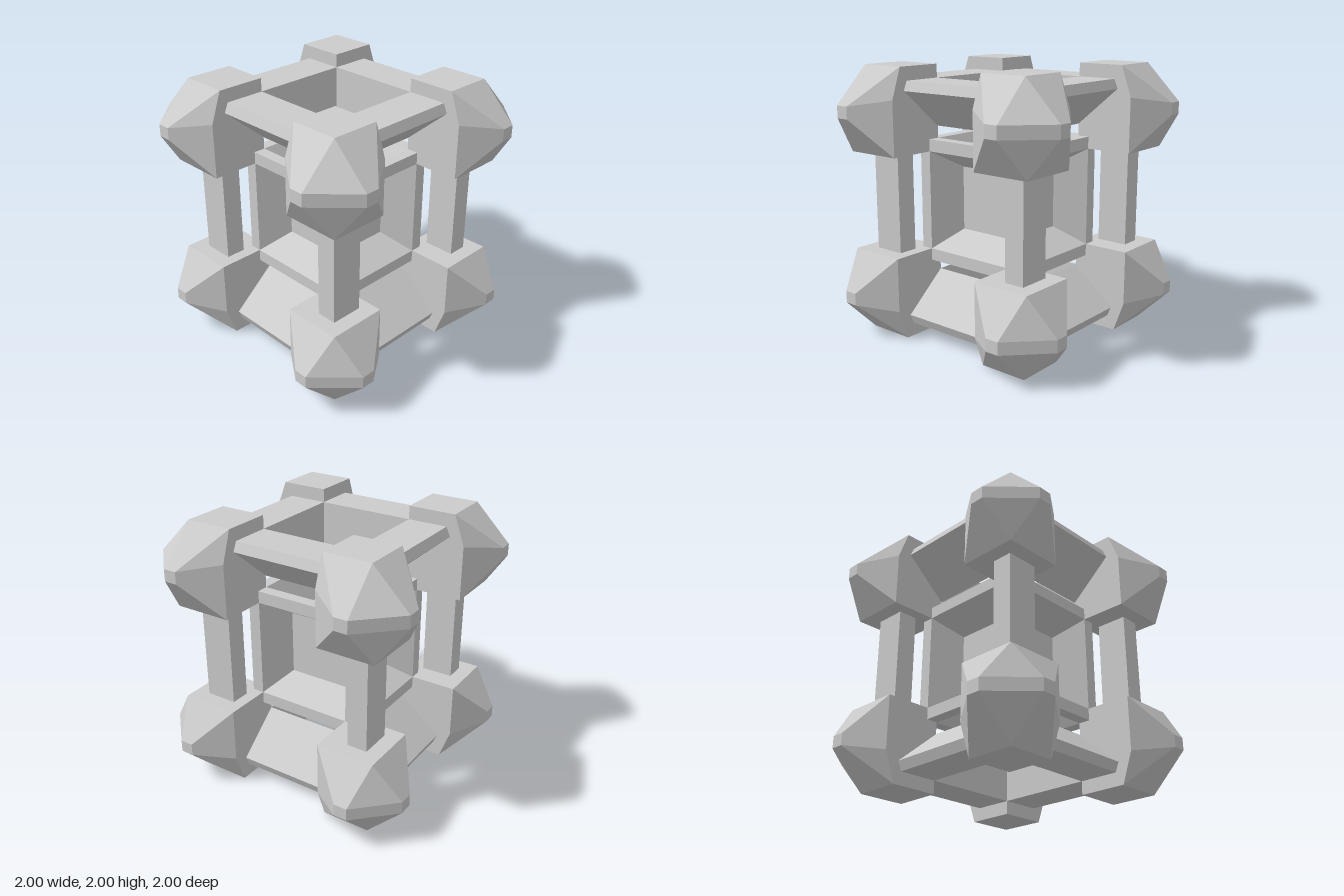
import * as THREE from 'three';
import { ConvexGeometry } from 'three/addons/geometries/ConvexGeometry.js';

const material = new THREE.MeshStandardMaterial({ color: 0xcccccc, flatShading: true });
const SIGNS = [-1, 1];

// Faceted convex solid from a few corner points
function solid(name, points) {
  const geometry = new ConvexGeometry(points.map((p) => new THREE.Vector3(...p)));
  const mesh = new THREE.Mesh(geometry, material);
  mesh.name = name;
  return mesh;
}

// Corner points of one knob, in the all-positive octant
function knobPoints() {
  const pts = [];
  for (const a of [0.37, 0.73]) for (const b of [0.37, 0.73]) pts.push([a, 1, b]);
  for (const a of [0.63, 0.73]) {
    for (const y of [0.64, 0.73]) pts.push([a, y, 1], [1, y, a]);
  }
  for (const a of [0.37, 0.81]) for (const b of [0.37, 0.81]) pts.push([a, 0.37, b]);
  pts.push([0.37, 0.775, 0.81], [0.81, 0.775, 0.37]);
  return pts;
}

// Rail cross-section as [outward, up]
const RAIL = [[0.37, 0.55], [0.37, 0.9], [0.67, 0.9], [0.7, 0.83]];

// Fin cross-section as [half length, u, v], flaring from the core to a square lip
const FIN = [[0.24, 0.24, 0.24], [0.37, 0.37, 0.46], [0.37, 0.46, 0.46], [0.37, 0.46, 0.37]];

export function createModel() {
  const group = new THREE.Group();
  const frame = new THREE.Group();
  frame.position.y = 1;
  group.add(frame);

  // Corner knobs
  for (const sx of SIGNS) for (const sy of SIGNS) for (const sz of SIGNS) {
    frame.add(solid('cornerKnob', knobPoints().map(([x, y, z]) => [x * sx, y * sy, z * sz])));
  }

  // Horizontal rails of the top and bottom rings
  for (const sy of SIGNS) for (const so of SIGNS) {
    const xRail = [], zRail = [];
    for (const [out, up] of RAIL) for (const end of [-0.38, 0.38]) {
      xRail.push([end, up * sy, out * so]);
      zRail.push([out * so, up * sy, end]);
    }
    frame.add(solid('rail', xRail), solid('rail', zRail));
  }

  // Upright posts, each turned a quarter from the last
  for (let i = 0; i < 4; i++) {
    const post = new THREE.Mesh(new THREE.BoxGeometry(0.15, 0.78, 0.24), material);
    post.name = 'post';
    post.position.set(0.62, 0, 0.58);
    const pivot = new THREE.Group();
    pivot.name = 'postPivot';
    pivot.rotation.y = (i * Math.PI) / 2;
    pivot.add(post);
    frame.add(pivot);
  }

  // Core block
  const core = new THREE.Mesh(new THREE.BoxGeometry(0.48, 0.48, 0.48), material);
  core.name = 'core';
  frame.add(core);

  // Twelve flared fins, one along each edge of the core
  for (let axis = 0; axis < 3; axis++) for (const su of SIGNS) for (const sv of SIGNS) {
    const pts = [];
    for (const [len, u, v] of FIN) for (const end of SIGNS) {
      const p = [0, 0, 0];
      p[axis] = len * end;
      p[(axis + 1) % 3] = u * su;
      p[(axis + 2) % 3] = v * sv;
      pts.push(p);
    }
    frame.add(solid('coreFin', pts));
  }

  return group;
}
